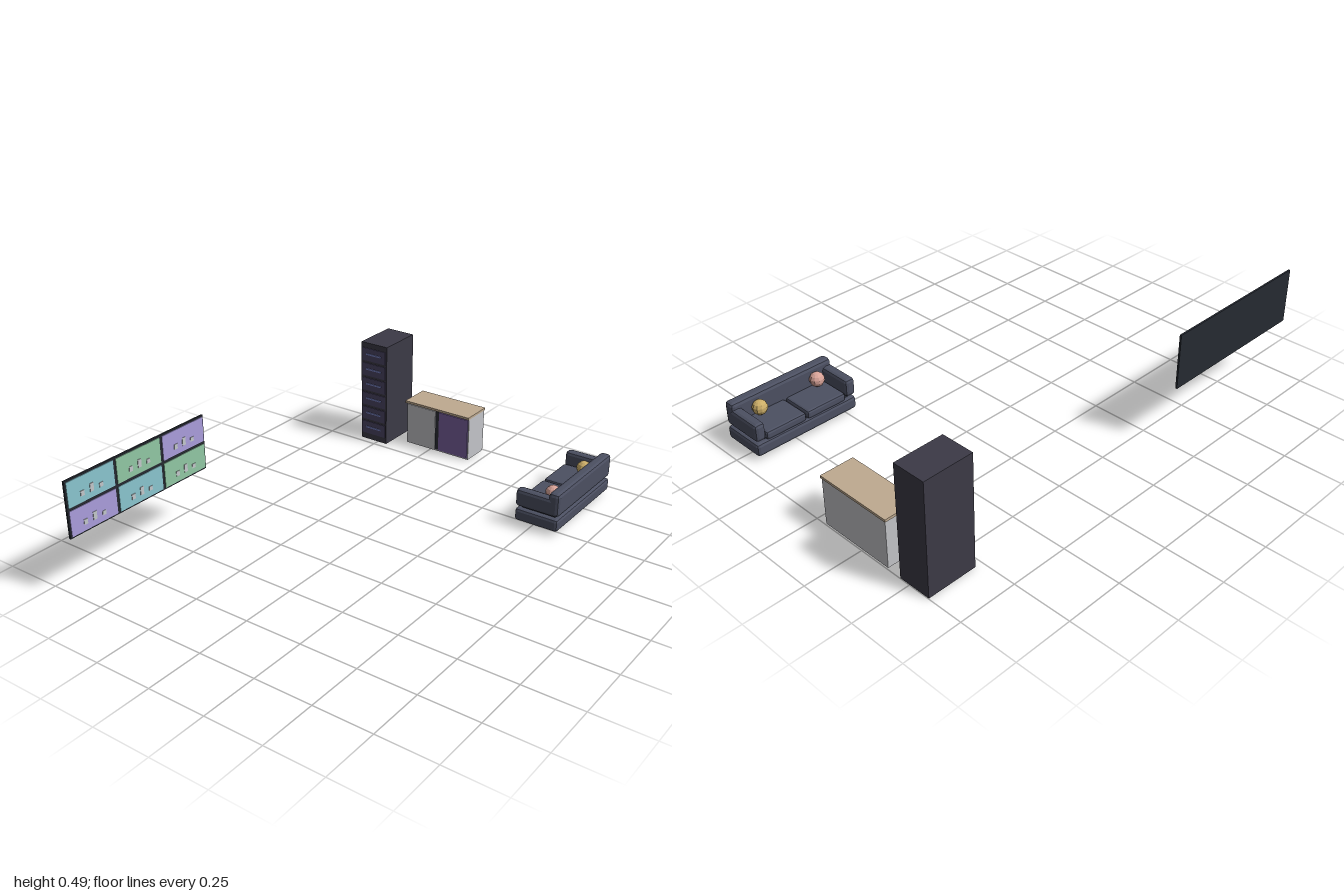
import * as THREE from 'three';
import { RoundedBoxGeometry } from 'three/addons/geometries/RoundedBoxGeometry.js';

const mat = (color, flatShading = false) => new THREE.MeshStandardMaterial({ color, flatShading });
const M = {
  frame: mat(0x262a32), teal: mat(0x8ac6d0), green: mat(0x92c8a4), lilac: mat(0xaa9edc),
  bar: mat(0xc4c8cc), rack: mat(0x3c3a46), unit: mat(0x4c4666), light: mat(0x7c86c8),
  desk: mat(0xc4c5c9), top: mat(0xbfaa90), purple: mat(0x7a62a0), seam: mat(0x2c2e36),
  sofa: mat(0x4c5062, true), shadow: mat(0x2c2f3a), pink: mat(0xd8a398, true), yellow: mat(0xccae68, true),
};

// Box given by its limits along x, y and z; a chamfer bevels all its edges
function box(parent, name, material, [x0, x1], [y0, y1], [z0, z1], chamfer = 0) {
  const s = [x1 - x0, y1 - y0, z1 - z0];
  const geo = chamfer ? new RoundedBoxGeometry(...s, 1, chamfer) : new THREE.BoxGeometry(...s);
  const m = new THREE.Mesh(geo, material);
  m.name = name;
  m.position.set((x0 + x1) / 2, (y0 + y1) / 2, (z0 + z1) / 2);
  parent.add(m);
}

function group(parent, name) {
  const g = new THREE.Group();
  g.name = name;
  parent.add(g);
  return g;
}

// Wall display: dark backing with six coloured screens and small bar charts
function addDisplay(root) {
  const g = group(root, 'wallDisplay');
  box(g, 'displayBacking', M.frame, [-1, -0.27], [0.249, 0.488], [-0.63, -0.622]);
  const colors = [[M.lilac, M.teal, M.green], [M.teal, M.green, M.lilac]];
  const heights = [0.022, 0.034, 0.018];
  for (let row = 0; row < 2; row++) {
    for (let col = 0; col < 3; col++) {
      const x = -0.878 + col * 0.244, y = 0.309 + row * 0.119;
      box(g, 'screen', colors[row][col], [x - 0.115, x + 0.115], [y - 0.053, y + 0.053], [-0.624, -0.619]);
      heights.forEach((h, i) => {
        const bx = x - 0.045 + i * 0.046, by = y - 0.028;
        box(g, 'chartBar', M.bar, [bx - 0.009, bx + 0.009], [by, by + h], [-0.62, -0.617]);
      });
    }
  }
}

// Tall cabinet with stacked units on the side facing -x
function addCabinet(root) {
  const g = group(root, 'equipmentCabinet');
  box(g, 'cabinetBody', M.rack, [0.782, 0.998], [0, 0.488], [-0.595, -0.452]);
  for (let i = 0; i < 6; i++) {
    const y = 0.03 + i * 0.074;
    box(g, 'cabinetUnit', M.unit, [0.779, 0.784], [y, y + 0.062], [-0.588, -0.459]);
    box(g, 'indicatorLight', M.light, [0.776, 0.781], [y + 0.03, y + 0.037], [-0.565, -0.482]);
  }
}

// Counter with an overhanging top and two doors on the -x side
function addCounter(root) {
  const g = group(root, 'counter');
  box(g, 'counterBody', M.desk, [0.862, 0.994], [0, 0.206], [-0.385, -0.046]);
  box(g, 'counterTop', M.top, [0.85, 0.998], [0.206, 0.217], [-0.39, -0.043]);
  box(g, 'greyDoor', M.desk, [0.856, 0.864], [0.008, 0.2], [-0.381, -0.226]);
  box(g, 'purpleDoor', M.purple, [0.856, 0.864], [0.008, 0.2], [-0.206, -0.05]);
  box(g, 'doorSeam', M.seam, [0.859, 0.864], [0.008, 0.2], [-0.226, -0.206]);
}

// Sofa facing -z: base, backrest, arms, two seats and two pillows
function addSofa(root) {
  const g = group(root, 'sofa');
  box(g, 'sofaBase', M.sofa, [0.46, 0.945], [0.018, 0.074], [0.427, 0.627], 0.013);
  box(g, 'sofaCore', M.shadow, [0.485, 0.92], [0.068, 0.09], [0.45, 0.605]);
  box(g, 'sofaBack', M.sofa, [0.46, 0.945], [0.085, 0.19], [0.577, 0.627], 0.015);
  for (const side of [-1, 1]) {
    const x = 0.7025 + side * 0.2195;
    box(g, 'sofaArm', M.sofa, [x - 0.023, x + 0.023], [0.085, 0.163], [0.427, 0.61], 0.014);
    const c = 0.7025 + side * 0.098;
    box(g, 'seatCushion', M.sofa, [c - 0.094, c + 0.094], [0.073, 0.11], [0.43, 0.578], 0.01);
    const pillow = new THREE.Mesh(new THREE.SphereGeometry(0.032, 10, 7), side < 0 ? M.pink : M.yellow);
    pillow.name = 'pillow';
    pillow.position.set(0.696 + side * 0.14, 0.144, 0.551);
    g.add(pillow);
  }
}

export function createModel() {
  const root = new THREE.Group();
  root.name = 'loungeFurniture';
  addDisplay(root);
  addCabinet(root);
  addCounter(root);
  addSofa(root);
  return root;
}
